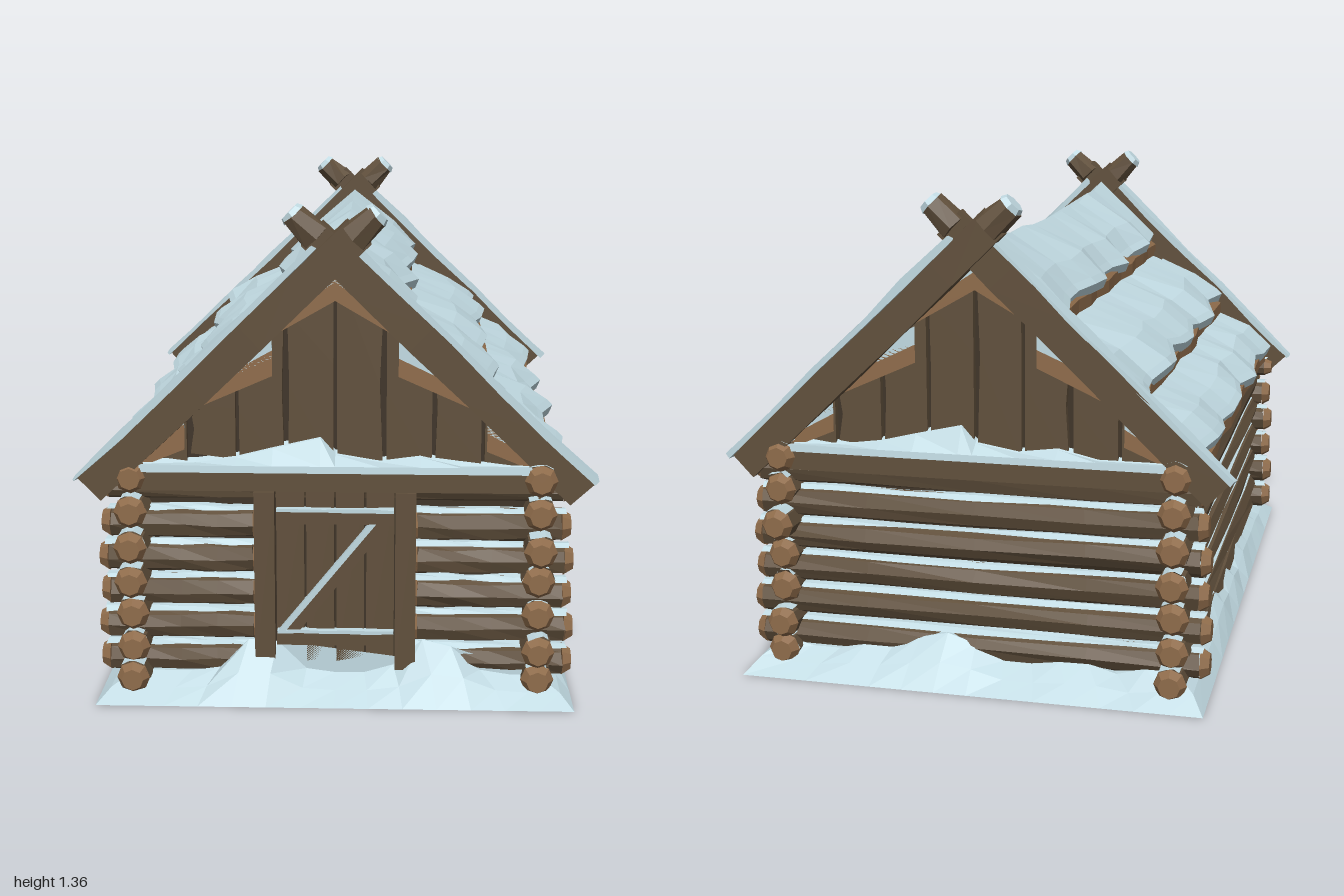
import * as THREE from 'three';

const mat = (name, color) => {
  const m = new THREE.MeshStandardMaterial({ color });
  m.name = name;
  return m;
};
const snow = mat('snow', 0xc2dbe3);
const wood = mat('darkWood', 0x61503c);
const cutWood = mat('cutWood', 0x8f6c4b);
const gapWood = mat('gapWood', 0x3f3428);

// Repeatable noise from -1 to 1
const noise = (a, b = 0, c = 0) => {
  const s = Math.sin(a * 12.9898 + b * 78.233 + c * 37.719 + 1.3) * 43758.5453;
  return (s - Math.floor(s)) * 2 - 1;
};
const flat = (g) => {
  const f = g.index ? g.toNonIndexed() : g;
  f.computeVertexNormals();
  return f;
};
// Shift coinciding vertices together for a hand-hewn look
function roughen(g, amount, seed) {
  const p = g.attributes.position;
  const r = (v) => Math.round(v * 1000) + 0;
  for (let i = 0; i < p.count; i++) {
    const [x, y, z] = [p.getX(i), p.getY(i), p.getZ(i)];
    const n = (k) => amount * noise(r(x) * 0.13 + k, r(y) * 0.17 + seed, r(z) * 0.19);
    p.setXYZ(i, x + n(1), y + n(2), z + n(3));
  }
  return flat(g);
}
function add(parent, name, geometry, material, x = 0, y = 0, z = 0) {
  const m = new THREE.Mesh(geometry, material);
  m.name = name;
  m.position.set(x, y, z);
  parent.add(m);
  return m;
}
function box(parent, name, material, x0, x1, y0, y1, z0, z1, rough = 0, seed = 0) {
  const g = new THREE.BoxGeometry(x1 - x0, y1 - y0, z1 - z0, rough ? 5 : 1, 1, 1);
  if (rough) roughen(g, rough, seed);
  return add(parent, name, g, material, (x0 + x1) / 2, (y0 + y1) / 2, (z0 + z1) / 2);
}
function plate(parent, name, material, points, z0, z1) {
  const shape = new THREE.Shape(points.map(([x, y]) => new THREE.Vector2(x, y)));
  const g = new THREE.ExtrudeGeometry(shape, { depth: z1 - z0, bevelEnabled: false });
  return add(parent, name, g, material, 0, 0, z0);
}
// Solid through a row of equal rings, counter-clockwise seen from the far end
function loft(rings) {
  const out = [], n = rings[0].length, last = rings[rings.length - 1];
  const tri = (...pts) => pts.forEach((p) => out.push(...p));
  for (let i = 0; i < rings.length - 1; i++) {
    for (let j = 0; j < n; j++) {
      const k = (j + 1) % n;
      const [a, b, c, d] = [rings[i][j], rings[i][k], rings[i + 1][k], rings[i + 1][j]];
      tri(a, b, c);
      tri(a, c, d);
    }
  }
  for (let j = 1; j < n - 1; j++) {
    tri(rings[0][0], rings[0][j + 1], rings[0][j]);
    tri(last[0], last[j], last[j + 1]);
  }
  const g = new THREE.BufferGeometry();
  g.setAttribute('position', new THREE.Float32BufferAttribute(out, 3));
  return flat(g);
}

// Log with cut ends and a thin strip of snow on top, along x or z from a to b
function log(parent, axis, a, b, u, y, r, seed) {
  const g = new THREE.Group(), len = b - a, tip = 0.025;
  g.name = axis === 'x' ? 'crossLog' : 'sideLog';
  add(g, 'bark', roughen(new THREE.CylinderGeometry(r, r, len - tip * 2, 8, 4, true), 0.004, seed), wood);
  for (const s of [1, -1]) {
    const end = flat(new THREE.CylinderGeometry(r * 0.68, r * 1.04, tip, 8));
    const m = add(g, 'cutEnd', end, cutWood, 0, s * (len / 2 - tip / 2), 0);
    if (s < 0) m.rotation.x = Math.PI;
  }
  const up = axis === 'x' ? Math.PI * 1.5 : Math.PI;
  const cap = new THREE.CylinderGeometry(r + 0.005, r + 0.005, len - 0.03, 3, 6, true, up - 0.62, 1.24);
  add(g, 'logSnow', roughen(cap, 0.004, seed + 9), snow);
  if (axis === 'x') { g.rotation.z = -Math.PI / 2; g.position.set((a + b) / 2, y, u); }
  else { g.rotation.x = Math.PI / 2; g.position.set(u, y, (a + b) / 2); }
  parent.add(g);
}

function walls(parent) {
  box(parent, 'innerWall', gapWood, -0.53, 0.53, 0.02, 0.64, -0.835, 0.835);
  for (const s of [1, -1]) {
    [0.06, 0.14, 0.237, 0.334, 0.431, 0.527, 0.62].forEach((y, i) => {
      const e = 0.95 + 0.025 * noise(i, s);
      log(parent, 'z', -e, e, s * 0.555, y, 0.044, i + s * 20);
    });
  }
  for (let i = 0; i < 6; i++) {
    const y = 0.095 + i * 0.097, e = 0.64 + 0.02 * noise(i, 5);
    log(parent, 'x', -e, e, -0.855, y, 0.044, i + 50);
    if (i < 5) {
      log(parent, 'x', 0.2, e, 0.855, y, 0.044, i + 60);
      log(parent, 'x', -e, -0.2, 0.855, y, 0.044, i + 70);
    } else log(parent, 'x', -e, e, 0.855, y, 0.03, 80);
  }
}

function door(parent) {
  const g = new THREE.Group();
  g.name = 'door';
  parent.add(g);
  box(g, 'doorBacking', gapWood, -0.2, 0.2, 0.06, 0.59, 0.82, 0.875);
  for (let i = 0; i < 4; i++) {
    const x = -0.164 + i * 0.082, b = 0.085 + 0.012 * noise(i, 3);
    plate(g, 'doorPlank', wood, [[x + 0.003, b], [x + 0.079, b + 0.015], [x + 0.079, 0.58], [x + 0.003, 0.58]], 0.86, 0.89);
  }
  for (const s of [1, -1]) box(g, 'doorPost', wood, s * 0.192 - 0.028, s * 0.192 + 0.028, 0.08, 0.585, 0.84, 0.918);
  for (const y of [0.515, 0.168]) {
    box(g, 'doorRail', wood, -0.16, 0.16, y - 0.022, y + 0.012, 0.885, 0.908);
    box(g, 'railSnow', snow, -0.16, 0.16, y + 0.012, y + 0.021, 0.885, 0.911, 0.002, y);
  }
  plate(g, 'doorBrace', wood, [[-0.15, 0.185], [-0.1, 0.185], [0.15, 0.495], [0.1, 0.495]], 0.885, 0.906);
  plate(g, 'braceSnow', snow, [[-0.157, 0.185], [-0.138, 0.185], [0.112, 0.495], [0.093, 0.495]], 0.885, 0.911);
}

// Plank gable, snowy beam and crossed roof boards, built facing +z
function gable(seed) {
  const g = new THREE.Group();
  g.name = 'gable';
  const top = (x, d = 0) => 1.19 - d - 0.95 * Math.abs(x);
  plate(g, 'gableBacking', gapWood, [[-0.58, 0.6], [0.58, 0.6], [0.58, top(0.58, 0.02)], [0, top(0, 0.02)], [-0.58, top(0.58, 0.02)]], 0.82, 0.845);
  for (let i = -4; i < 4; i++) {
    const a = i * 0.133 + 0.005, b = a + 0.123, m = 0.012 * noise(i, seed);
    const foot = 0.66 + 0.02 * noise(i, 4, seed);
    plate(g, 'gablePlank', wood, [[a, foot], [b, foot - 0.015], [b + Math.min(m, 0), (foot + top(b)) / 2], [b, top(b)], [a, top(a)], [a + Math.max(m, 0), (foot + top(a)) / 2]], 0.84, 0.867);
  }
  box(g, 'gableBeam', wood, -0.54, 0.54, 0.585, 0.638, 0.84, 0.91);
  // Snow drifted against the gable
  const drift = [[-0.53, 0.66], [-0.38, 0.665], [-0.27, 0.68], [-0.17, 0.705], [-0.04, 0.735], [0.0, 0.69], [0.12, 0.67], [0.23, 0.685], [0.34, 0.66], [0.53, 0.66]];
  add(g, 'gableSnow', loft(drift.map(([x, y]) => [[x, 0.637, 0.84], [x, y, 0.855], [x, y - 0.01, 0.872], [x, 0.656, 0.912], [x, 0.637, 0.914]])), snow);
  for (const s of [1, -1]) {
    const z = s > 0 ? 0.868 : 0.88, b = new THREE.Group();
    b.name = 'roofBoard';
    b.position.set(s * 0.3, 0.937, z + 0.02);
    b.rotation.z = -s * 0.765;
    g.add(b);
    box(b, 'board', wood, -0.5, 0.51, -0.045, 0.045, -0.02, 0.02, 0.003, seed + s);
    box(b, 'boardSnow', snow, -0.4, 0.51, 0.042, 0.058, -0.024, 0.024, 0.006, seed + s * 3);
    const k = add(b, 'boardKnob', roughen(new THREE.CylinderGeometry(0.036, 0.046, 0.085, 7), 0.004, seed), wood, -s * 0.525, 0, 0);
    k.rotation.z = s * Math.PI / 2;
    const c = add(b, 'knobSnow', flat(new THREE.CylinderGeometry(0.03, 0.038, 0.016, 7)), snow, -s * 0.573, 0, 0);
    c.rotation.z = s * Math.PI / 2;
    // Mirrored boards keep their horn at the ridge end
    if (s < 0) b.children[0].position.x = b.children[1].position.x = 0;
    b.children[1].position.x = s * 0.06;
  }
  return g;
}

// Three overlapping rows of boards under wavy snow on each slope
function roof(parent) {
  const rows = [[0, 1.2, 0.21, 1.05], [0.17, 0.995, 0.45, 0.84], [0.41, 0.79, 0.62, 0.67]];
  const stations = Array.from({ length: 14 }, (_, i) => -0.868 + (1.736 * i) / 13);
  for (const s of [1, -1]) {
    rows.forEach(([xi, yi, xo, yo], r) => {
      const ring = (pts, z) => {
        const p = pts.map(([x, y]) => [x * s, y, z]);
        return s > 0 ? p : p.reverse();
      };
      const snowRings = [], boardRings = [];
      stations.forEach((z, i) => {
        const rise = r === 0 ? 0.045 * (z / 0.868) ** 2 + 0.008 * noise(i, 2) : 0;
        const e = xo + 0.02 * Math.sin(z * 14 + r * 2 + s) + 0.012 * noise(i, r, s);
        const y = yo + 0.014 * noise(i, r + 5, s), m = xi + (e - xi) * 0.65;
        const my = yi + (y - yi) * 0.65 + 0.018 + 0.008 * noise(i, r + 8, s);
        snowRings.push(ring([[xi, yi - 0.05], [e - 0.012, y - 0.035], [e, y - 0.006], [e - 0.018, y + 0.012], [m, my], [xi, yi + rise]], z));
        const w = xo - 0.004 + 0.01 * noise(i, r + 11, s);
        boardRings.push(ring([[xi, yi - 0.1], [w, yo - 0.068], [w, yo - 0.03], [xi, yi - 0.03]], z));
      });
      add(parent, 'roofSnow', loft(snowRings), snow);
      add(parent, 'roofBoards', loft(boardRings), cutWood);
    });
  }
}

// Snowy ground sloping up to the walls
function ground(parent) {
  const corners = [[1, 1], [1, -1], [-1, -1], [-1, 1]], n = 14;
  const bump = (v, c, w) => Math.exp(-(((v - c) / w) ** 2));
  const height = (u, v) => {
    const jitter = 0.015 * noise(Math.round(u * 50), Math.round(v * 50));
    if (v > 0.99) return 0.06 + 0.12 * bump(u, -0.36, 0.14) + 0.11 * bump(u, 0.48, 0.16);
    if (v < -0.99) return 0.07 + 0.06 * bump(u, 0.2, 0.25) + jitter;
    return 0.07 + 0.05 * Math.cos(v * 13) ** 2 * (1 - v * v) + jitter;
  };
  const rings = [[0.652, 1, 0], [0.618, 0.945, 0.5], [0.56, 0.89, 1]].map(([w, d, k]) => {
    const ring = [];
    corners.forEach(([u0, v0], c) => {
      const [u1, v1] = corners[(c + 1) % 4];
      for (let i = 0; i < n; i++) {
        const u = u0 + ((u1 - u0) * i) / n, v = v0 + ((v1 - v0) * i) / n;
        ring.push([u * w, k * height(u, v), v * d]);
      }
    });
    return ring;
  });
  add(parent, 'groundSnow', loft(rings), snow);
}

export function createModel() {
  const model = new THREE.Group();
  model.name = 'snowyLogCabin';
  ground(model);
  walls(model);
  door(model);
  roof(model);
  const back = gable(7);
  back.rotation.y = Math.PI;
  model.add(gable(2), back);
  return model;
}
